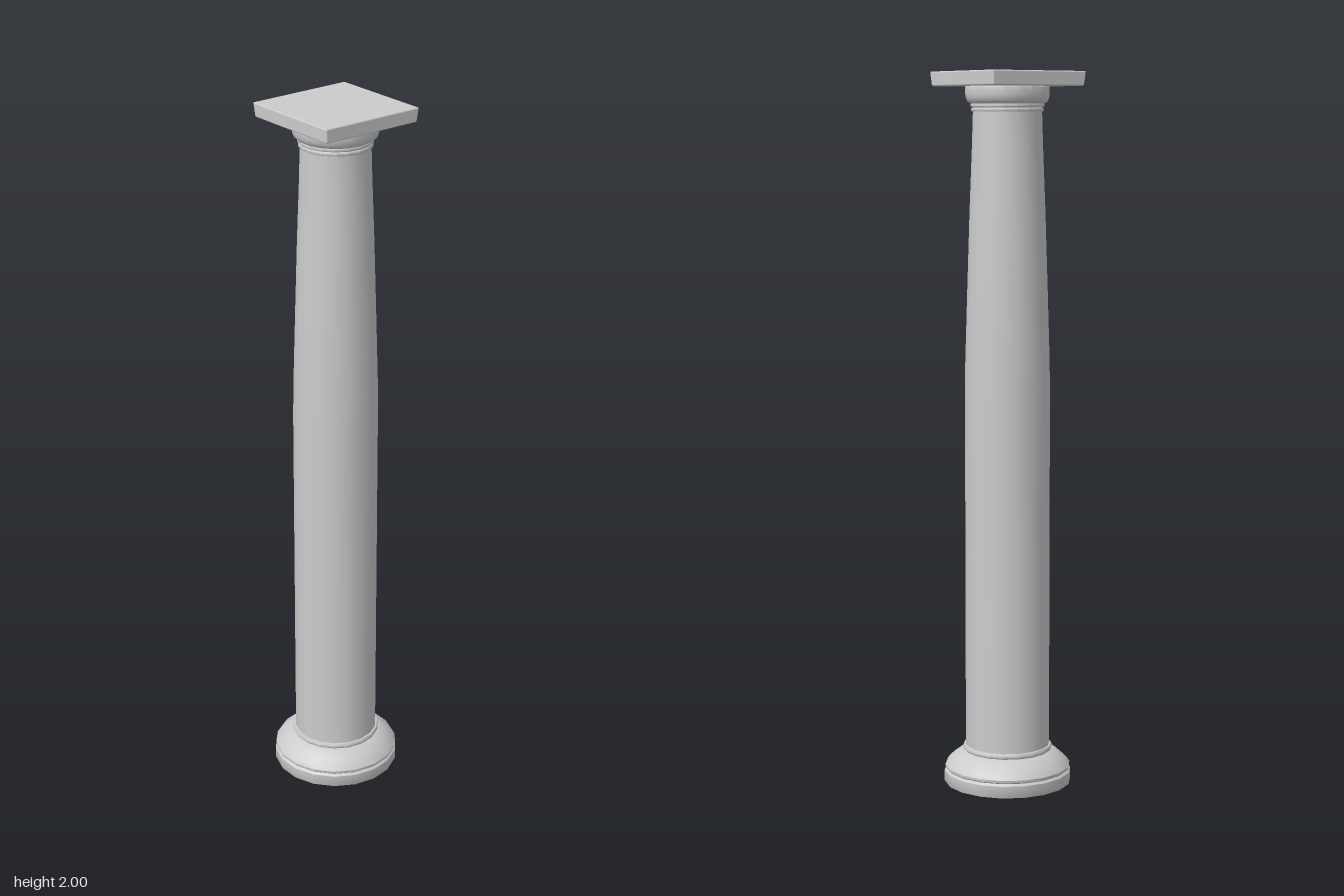
import * as THREE from 'three';
import { toCreasedNormals } from 'three/addons/utils/BufferGeometryUtils.js';
import { RoundedBoxGeometry } from 'three/addons/geometries/RoundedBoxGeometry.js';

const SIDES = 18;
const material = new THREE.MeshStandardMaterial({ color: 0xcccccc });

// Turned part from [radius, height] pairs, listed bottom to top
function turned(name, profile) {
  const points = profile.map(([r, y]) => new THREE.Vector2(r, y));
  const lathe = new THREE.LatheGeometry(points, SIDES, Math.PI / 2);
  const mesh = new THREE.Mesh(toCreasedNormals(lathe, 0.6), material);
  mesh.name = name;
  return mesh;
}

export function createModel() {
  const column = new THREE.Group();
  column.name = 'column';

  // Round plinth with a shallow groove, sloping cushion above it
  column.add(turned('base', [
    [0, 0], [0.178, 0], [0.18, 0.004], [0.18, 0.034], [0.177, 0.038],
    [0.174, 0.04], [0.177, 0.043], [0.178, 0.05], [0.172, 0.06],
    [0.153, 0.077], [0.133, 0.092], [0.122, 0.095], [0, 0.095],
  ]));

  // Thin ring at the foot of the shaft
  column.add(turned('baseRing', [
    [0.115, 0.094], [0.124, 0.095], [0.127, 0.1], [0.127, 0.104],
    [0.124, 0.109], [0.115, 0.11],
  ]));

  // Shaft: straight below, tapering gently above
  column.add(turned('shaft', [
    [0.119, 0.09], [0.119, 1.1], [0.118, 1.2], [0.112, 1.4],
    [0.105, 1.62], [0.098, 1.8], [0.095, 1.9],
  ]));

  // Two thin neck rings
  [[0.1, 1.896], [0.102, 1.908]].forEach(([r, y], i) => {
    column.add(turned(`neckRing${i + 1}`, [
      [0.09, y - 0.006], [r - 0.002, y - 0.005], [r, y - 0.002],
      [r, y + 0.002], [r - 0.002, y + 0.005], [0.09, y + 0.006],
    ]));
  });

  // Capital swelling out under the top slab
  column.add(turned('capital', [
    [0, 1.912], [0.1, 1.912], [0.109, 1.917], [0.114, 1.926],
    [0.116, 1.938], [0.116, 1.957], [0.113, 1.962], [0, 1.963],
  ]));

  // Square top slab, slightly narrower at its underside
  const height = 0.04;
  const slab = new RoundedBoxGeometry(0.308, height, 0.308, 2, 0.004);
  const pos = slab.attributes.position;
  for (let i = 0; i < pos.count; i++) {
    const s = 1 - 0.025 * (0.5 - pos.getY(i) / height);
    pos.setX(i, pos.getX(i) * s);
    pos.setZ(i, pos.getZ(i) * s);
  }
  const topSlab = new THREE.Mesh(slab, material);
  topSlab.name = 'topSlab';
  topSlab.position.y = 2 - height / 2;
  column.add(topSlab);

  return column;
}
